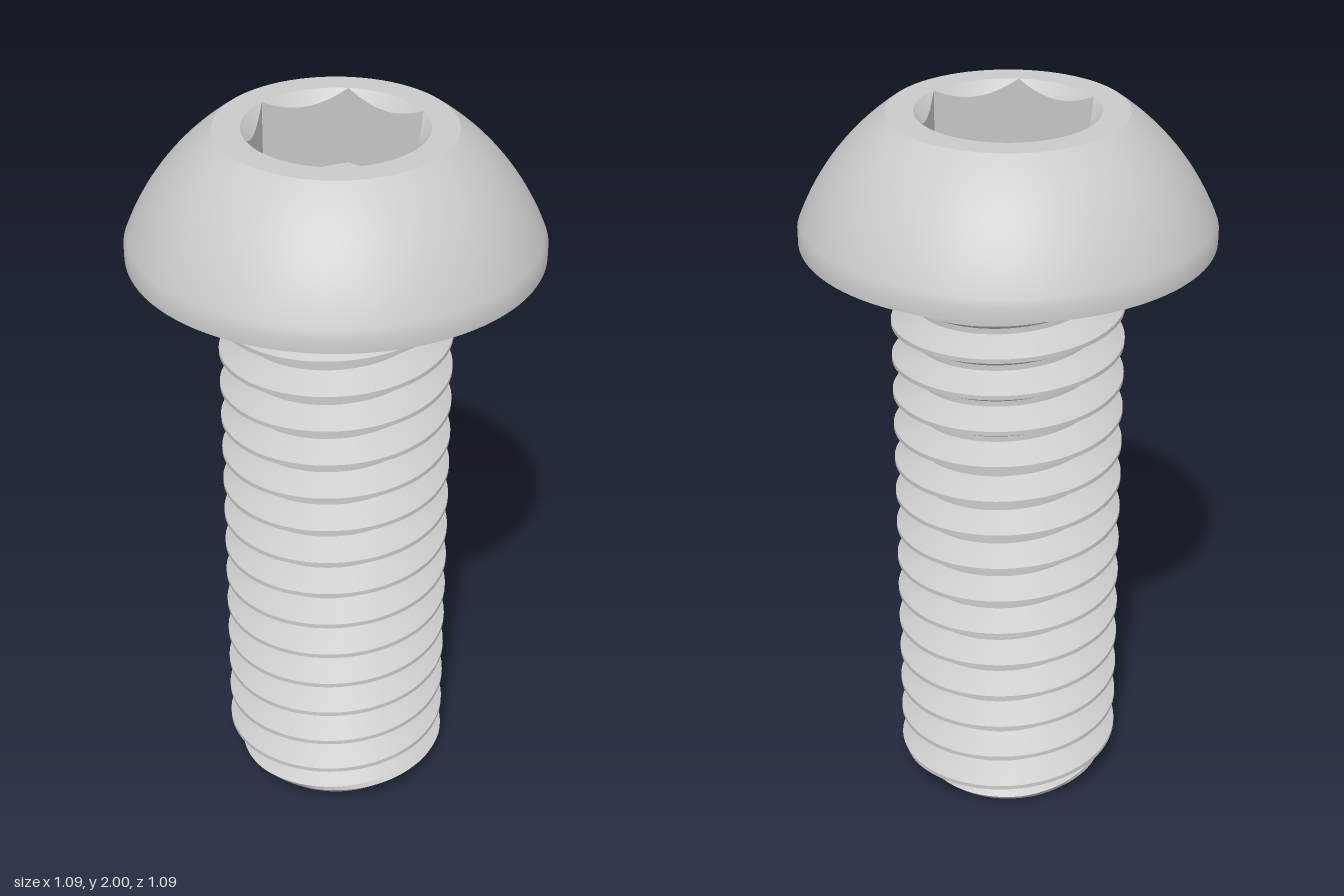
import * as THREE from 'three';
import { toCreasedNormals } from 'three/addons/utils/BufferGeometryUtils.js';

const SEGMENTS = 96;
const HEAD_BASE = 1.662, TOP = 2;
const PITCH = 0.1036, MAJOR = 0.311, ROOT = 0.243;
const CREST = 0.006, FLANK = 0.038; // half crest width, flank height

// Sweeps rows around the axis; point(row, angle) returns [radius, y]
function sweep(rows, point) {
  const positions = [], v = [0, 1].map(() => new THREE.Vector3());
  const at = (row, i) => {
    const t = (i / SEGMENTS) * Math.PI * 2;
    const [r, y] = point(row, t);
    return new THREE.Vector3(r * Math.cos(t), y, -r * Math.sin(t));
  };
  const addTriangle = (a, b, c) => {
    const area = v[0].subVectors(b, a).cross(v[1].subVectors(c, a)).length();
    if (area > 1e-8) positions.push(...a, ...b, ...c);
  };
  for (let j = 0; j < rows.length - 1; j++) {
    for (let i = 0; i < SEGMENTS; i++) {
      const a = at(rows[j], i), b = at(rows[j], i + 1);
      const c = at(rows[j + 1], i + 1), d = at(rows[j + 1], i);
      addTriangle(a, b, c);
      addTriangle(a, c, d);
    }
  }
  const geometry = new THREE.BufferGeometry();
  geometry.setAttribute('position', new THREE.Float32BufferAttribute(positions, 3));
  return toCreasedNormals(geometry, 0.5);
}

// Right-handed thread, trimmed by the tip chamfer and the head
function threadGeometry() {
  const crestAt = (t) => 0.14 + PITCH * (t / (2 * Math.PI) - 0.5);
  const radius = (y, t) => {
    const turns = (y - crestAt(t)) / PITCH;
    const d = Math.abs(turns - Math.round(turns)) * PITCH;
    const r = MAJOR - ((d - CREST) / FLANK) * (MAJOR - ROOT);
    return Math.min(THREE.MathUtils.clamp(r, ROOT, MAJOR), 0.235 + y);
  };
  const end = CREST + FLANK;
  const steps = [-CREST, CREST, 0.019, 0.032, end, PITCH - end, PITCH - 0.032, PITCH - 0.019];
  const rows = [null]; // null closes the flat tip at the axis
  for (let k = -3; k <= 17; k++) steps.forEach((s) => rows.push(k * PITCH + s));
  return sweep(rows, (row, t) => {
    if (row === null) return [0, 0];
    const y = THREE.MathUtils.clamp(crestAt(t) + row, 0, HEAD_BASE);
    return [radius(y, t), y];
  });
}

// Flat rim, countersunk cone, hexagonal walls and floor
function socketGeometry() {
  const rim = 0.239, floor = 1.79, sector = Math.PI / 3;
  const hex = (t) => 0.207 / Math.cos(t - sector * Math.round(t / sector));
  const rows = [
    () => [0.311, TOP],
    () => [rim, TOP],
    (t) => [hex(t), TOP - Math.max(0, rim - hex(t))],
    (t) => [hex(t), floor],
    () => [0, floor],
  ];
  return sweep(rows, (row, t) => row(t));
}

// Underside, short vertical edge and domed button profile
function headGeometry() {
  const dome = new THREE.QuadraticBezierCurve(
    new THREE.Vector2(0.544, 1.7), new THREE.Vector2(0.472, 1.884), new THREE.Vector2(0.311, TOP));
  const rows = [new THREE.Vector2(0.2, HEAD_BASE), new THREE.Vector2(0.544, HEAD_BASE), ...dome.getPoints(18)];
  return sweep(rows, (p) => [p.x, p.y]);
}

export function createModel() {
  const steel = new THREE.MeshStandardMaterial({ color: 0xcacaca });
  steel.name = 'steel grey';
  const model = new THREE.Group();
  model.name = 'buttonHeadScrew';
  const parts = {
    threadedShank: threadGeometry(),
    domedHead: headGeometry(),
    hexSocket: socketGeometry(),
  };
  for (const [name, geometry] of Object.entries(parts)) {
    const mesh = new THREE.Mesh(geometry, steel);
    mesh.name = name;
    model.add(mesh);
  }
  return model;
}
